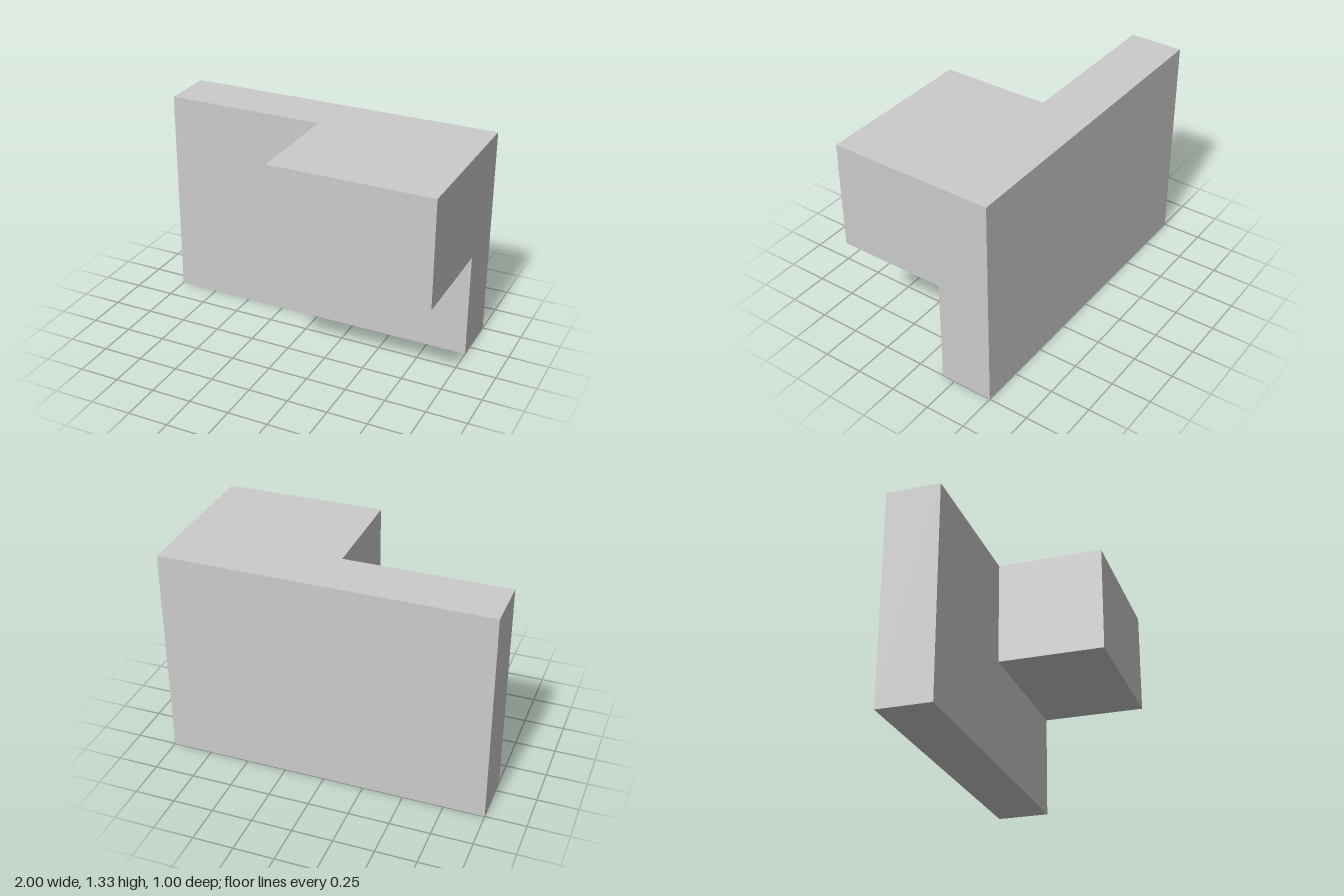
import * as THREE from 'three';

const material = new THREE.MeshStandardMaterial({ color: 0xcccccc, flatShading: true });

// Box given by its minimum and maximum corners
function box(name, min, max) {
  const size = max.map((v, i) => v - min[i]);
  const mesh = new THREE.Mesh(new THREE.BoxGeometry(...size), material);
  mesh.name = name;
  mesh.position.set(...max.map((v, i) => (v + min[i]) / 2));
  return mesh;
}

export function createModel() {
  const group = new THREE.Group();
  group.name = 'steppedBlock';

  const height = 4 / 3;
  const slabFront = -1 / 6;

  // Upright slab along the back
  group.add(box('backSlab', [-1, 0, -0.5], [1, height, slabFront]));

  // Block projecting forward from the upper left quarter of the slab
  group.add(box('projectingBlock', [0, height / 2, slabFront], [1, height, 0.5]));

  return group;
}
